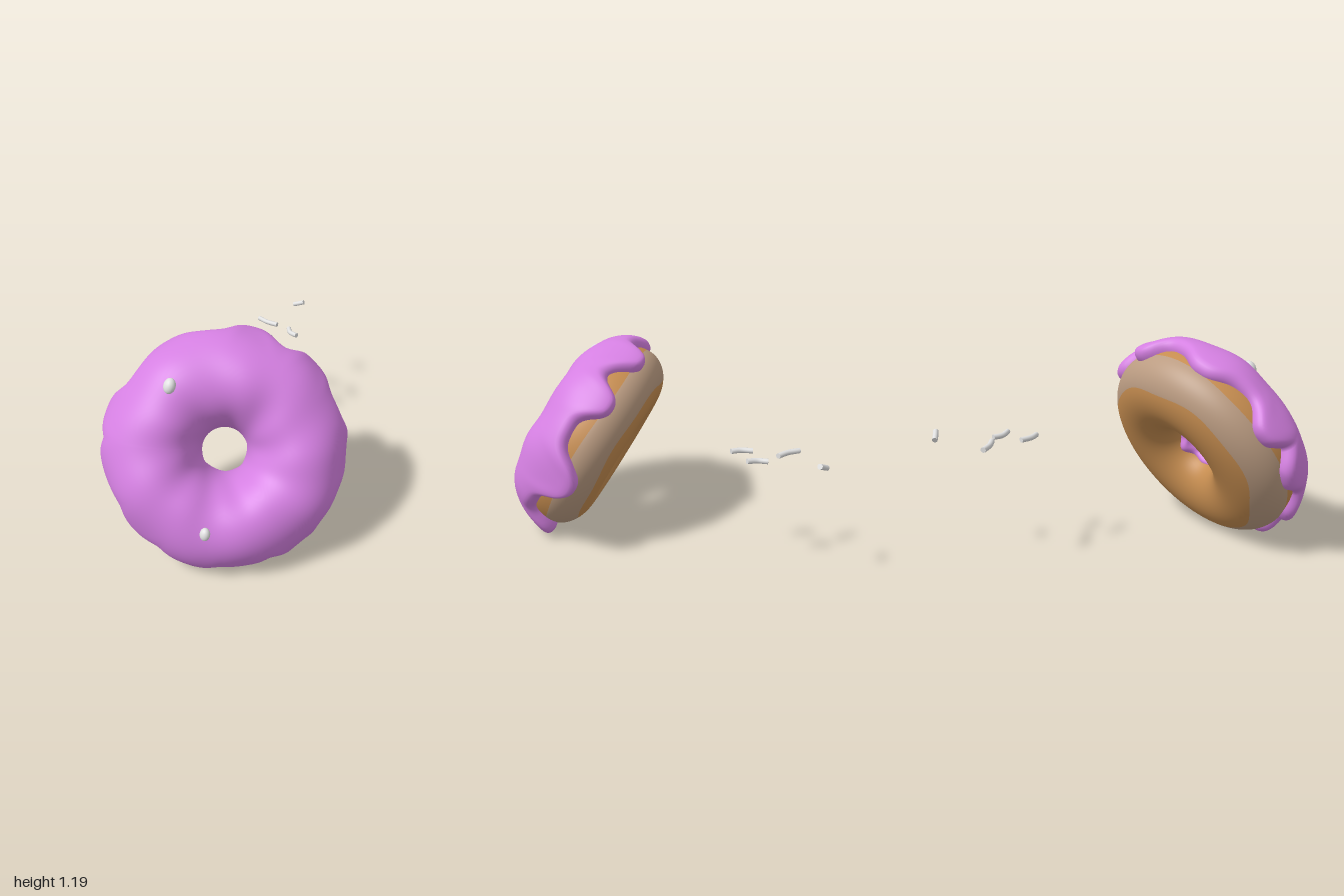
import * as THREE from 'three';
import { mergeGeometries } from 'three/addons/utils/BufferGeometryUtils.js';

const RAD = Math.PI / 180;
const mat = (name, color, side = THREE.FrontSide) => {
  const m = new THREE.MeshStandardMaterial({ color, side });
  m.name = name;
  return m;
};

// Ring surface: fn(theta, v) gives a point; rows run in v, theta closes on itself
function ringSurface(nu, nv, closed, fn) {
  const pos = [], index = [];
  const rows = closed ? nv : nv + 1;
  for (let j = 0; j < rows; j++)
    for (let i = 0; i < nu; i++) pos.push(...fn((i / nu) * 360, j / nv));
  for (let j = 0; j < nv; j++)
    for (let i = 0; i < nu; i++) {
      const i2 = (i + 1) % nu, j2 = (j + 1) % rows;
      const a = j * nu + i, b = j * nu + i2, c = j2 * nu + i, d = j2 * nu + i2;
      index.push(a, c, b, b, c, d);
    }
  const g = new THREE.BufferGeometry();
  g.setAttribute('position', new THREE.Float32BufferAttribute(pos, 3));
  g.setIndex(index);
  g.computeVertexNormals();
  return g;
}

// Point on the dough's tube, lifted outward by t (angles in degrees); flatter below
function tubePoint(theta, phi, t) {
  const c = Math.cos(phi * RAD), s = Math.sin(phi * RAD);
  const r = 0.38 + (0.23 + t) * c;
  const height = s > 0 ? 0.275 : 0.19;
  return [r * Math.cos(theta * RAD), -0.075 + (height + t) * s, r * Math.sin(theta * RAD)];
}

// Icing drips: angle, length in degrees down the side, half width
const drips = [
  [22, 28, 11], [65, 14, 12], [106, 30, 10], [139, 32, 10], [185, 40, 12],
  [236, 42, 10], [264, 20, 9], [292, 26, 11], [322, 18, 10], [355, 24, 13],
];
function dripAt(theta) {
  let len = 0;
  for (const [at, l, w] of drips) {
    const d = Math.abs(((theta - at + 540) % 360) - 180) / w;
    len = Math.max(len, l * Math.exp(-Math.pow(d, 2.6)));
  }
  return len;
}

function icingPoint(theta, v) {
  const a = theta * RAD;
  const drip = dripAt(theta);
  const start = 18 - drip + 3 * Math.sin(3 * a + 1);
  const end = 188 + 4 * Math.sin(4 * a) + 3 * Math.sin(7 * a + 2);
  const s = (1 - Math.cos(Math.PI * v)) / 2;
  const phi = start + (end - start) * s;
  // Rounded rim, thicker at drip tips, thinner inside the hole
  const edge = Math.min(1, Math.min(phi - start, end - phi) / 11);
  const round = Math.sqrt(Math.max(0, 1 - (1 - edge) ** 2));
  const outer = THREE.MathUtils.smoothstep(-phi, -170, -90);
  const tip = Math.exp(-(((phi - start - 12) / 18) ** 2)) * drip / 40;
  const lumps = 0.005 * Math.sin(5 * a + phi * 0.05) + 0.004 * Math.sin(9 * a - phi * 0.04 + 1);
  const inner = 0.028 + 0.014 * Math.cos(a - 2.3);
  const thick = inner + (0.05 - inner) * outer + 0.018 * tip + lumps * outer;
  return tubePoint(theta, phi, -0.005 + (thick + 0.005) * round);
}

// Short curved rod with flat ends
function rodGeometry(points, radius) {
  const curve = new THREE.CatmullRomCurve3(points.map(p => new THREE.Vector3(...p)));
  const parts = [new THREE.TubeGeometry(curve, 10, radius, 12)];
  for (const end of [0, 1]) {
    const cap = new THREE.CircleGeometry(radius, 12);
    const dir = curve.getTangent(end).multiplyScalar(end ? 1 : -1);
    cap.applyQuaternion(new THREE.Quaternion().setFromUnitVectors(new THREE.Vector3(0, 0, 1), dir));
    const p = curve.getPoint(end);
    cap.translate(p.x, p.y, p.z);
    parts.push(cap);
  }
  return mergeGeometries(parts);
}

export function createModel() {
  const model = new THREE.Group();
  const dough = mat('dough', 0xc68d50);
  const paleBand = mat('pale band', 0xbb9c82);
  const icing = mat('icing', 0xd580e2, THREE.DoubleSide);
  const sprinkle = mat('sprinkle', 0xe0e0e0);
  const add = (parent, name, geo, material) => {
    const m = new THREE.Mesh(geo, material);
    m.name = name;
    parent.add(m);
    return m;
  };

  // Tilted ring: local y is the axis on the iced side
  const donut = new THREE.Group();
  donut.name = 'donut';
  const axis = new THREE.Vector3(-0.65, 0.48, 0.588).normalize();
  const across = new THREE.Vector3(-axis.z, 0, axis.x).normalize();
  const up = new THREE.Vector3().crossVectors(across, axis);
  donut.quaternion.setFromRotationMatrix(new THREE.Matrix4().makeBasis(across, axis, up));
  donut.position.set(-0.463, 0.603, 0.048);
  model.add(donut);

  // Dough, with a pale band round the outside
  const nu = 144, nv = 64, bandRows = 16;
  const ring = ringSurface(nu, nv, true, (theta, v) => {
    const a = theta * RAD;
    const low = -55 + 3 * Math.sin(3 * a) + 2 * Math.sin(7 * a + 1);
    const high = 2 + 2 * Math.sin(4 * a + 2);
    const k = bandRows / nv;
    const phi = v < k ? low + (high - low) * (v / k)
      : high + (low + 360 - high) * ((v - k) / (1 - k));
    return tubePoint(theta, phi, 0);
  });
  ring.addGroup(0, bandRows * nu * 6, 0);
  ring.addGroup(bandRows * nu * 6, (nv - bandRows) * nu * 6, 1);
  add(donut, 'dough', ring, [paleBand, dough]);

  // Icing with drips
  add(donut, 'icing', ringSurface(270, 44, false, icingPoint), icing);

  // Sprinkles stuck in the icing: position, tilt, size
  const stuck = [[-0.67, 1.043, -0.13, -0.5, 1.1], [-0.858, 0.378, 0.222, -0.3, 0.95]];
  for (const [x, y, z, tilt, size] of stuck) {
    const s = add(model, 'stuckSprinkle', new THREE.SphereGeometry(size, 20, 14), sprinkle);
    s.scale.set(0.026, 0.038, 0.03);
    s.position.set(x, y, z);
    s.rotation.z = tilt;
  }

  // Loose sprinkles
  const loose = [
    [[0.48, 0.69, -0.305], [0.495, 0.69, -0.36], [0.54, 0.69, -0.41]],
    [[0.645, 0.695, -0.275], [0.66, 0.69, -0.335], [0.7, 0.69, -0.375]],
    [[0.685, 0.697, -0.46], [0.677, 0.697, -0.54], [0.69, 0.697, -0.612]],
    [[0.97, 0.714, -0.525], [0.977, 0.728, -0.49], [0.986, 0.743, -0.455]],
  ];
  for (const pts of loose) add(model, 'looseSprinkle', rodGeometry(pts, 0.015), sprinkle);

  return model;
}
